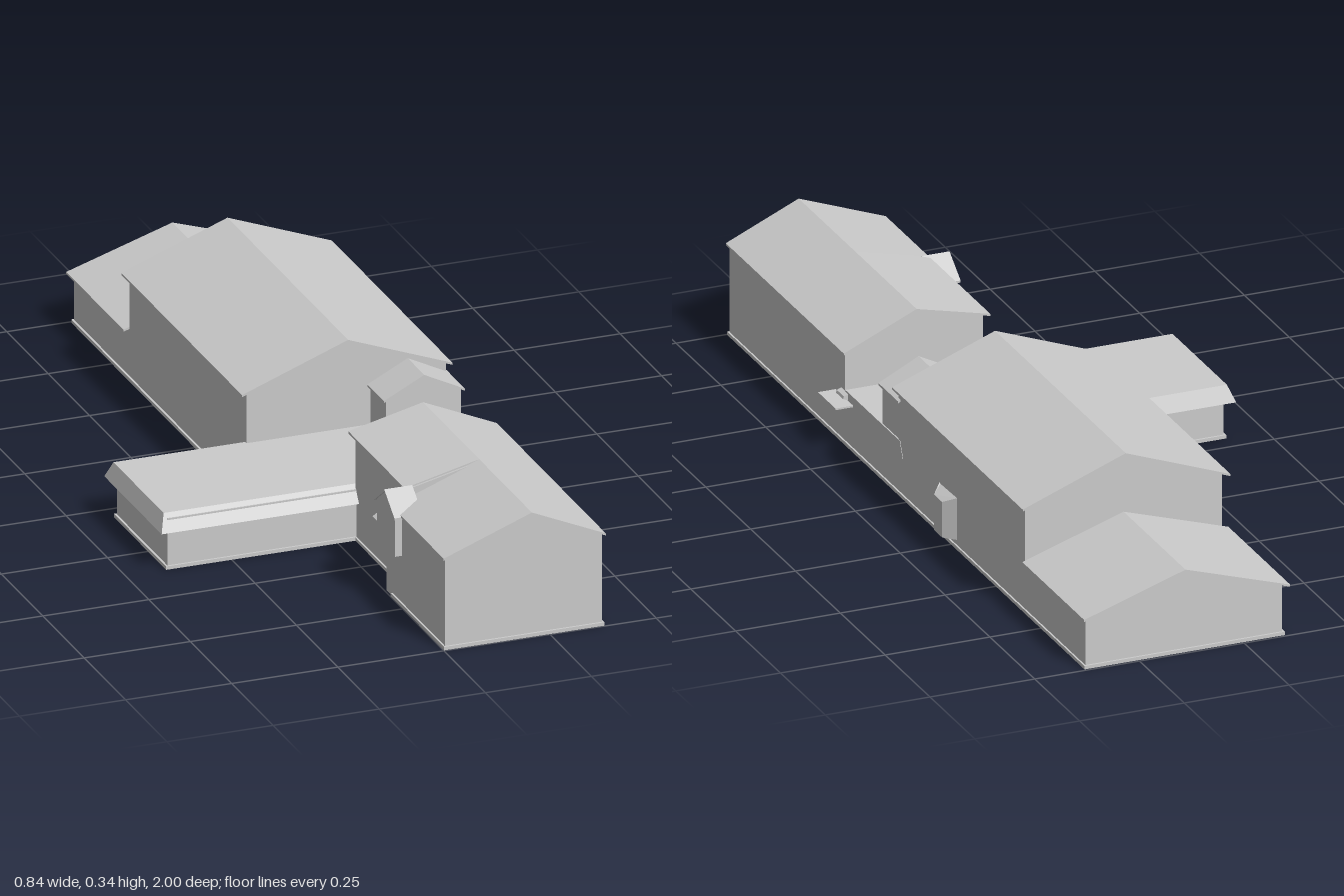
import * as THREE from 'three';

const material = new THREE.MeshStandardMaterial({ color: 0xcccccc, flatShading: true });

function add(group, name, geometry) {
  geometry.computeVertexNormals();
  const mesh = new THREE.Mesh(geometry, material);
  mesh.name = name;
  group.add(mesh);
  return mesh;
}

// Box given by its limits
function box(x0, x1, y0, y1, z0, z1) {
  return new THREE.BoxGeometry(x1 - x0, y1 - y0, z1 - z0)
    .translate((x0 + x1) / 2, (y0 + y1) / 2, (z0 + z1) / 2);
}

// Front-facing profile [x, y] pushed from z0 to z1
function prism(points, z0, z1) {
  const shape = new THREE.Shape(points.map(([x, y]) => new THREE.Vector2(x, y)));
  return new THREE.ExtrudeGeometry(shape, { depth: z1 - z0, bevelEnabled: false }).translate(0, 0, z0);
}

// Walls whose gable ends meet the roof
function gableWalls(left, right, eaveL, ridge, eaveR, z0, z1, base = 0) {
  return prism([[left, base], [right, base], [right, eaveR], ridge, [left, eaveL]], z0, z1);
}

// Thin two-sided roof slab over left eave, ridge, right eave
function gableRoof(l, m, r, z0, z1, t = 0.005) {
  return prism([[l[0], l[1] - t], [m[0], m[1] - t], [r[0], r[1] - t], r, m, l], z0, z1);
}

export function createModel() {
  const model = new THREE.Group();
  model.name = 'building';

  // Tall main hall
  add(model, 'hallWalls', gableWalls(-0.095, 0.375, 0.253, [0.14, 0.342], 0.253, -0.655, 0.05));
  add(model, 'hallRoof', gableRoof([-0.11, 0.252], [0.14, 0.345], [0.386, 0.252], -0.667, 0.062));

  // Low rear block
  add(model, 'rearWalls', gableWalls(-0.095, 0.375, 0.122, [0.14, 0.196], 0.122, -0.99, -0.65));
  add(model, 'rearRoof', gableRoof([-0.11, 0.121], [0.14, 0.2], [0.382, 0.121], -1, -0.655));

  // Front block: full width at the front, narrower and shallower-roofed behind
  add(model, 'frontWalls', gableWalls(0.005, 0.375, 0.218, [0.208, 0.293], 0.22, 0.68, 0.993));
  add(model, 'frontInnerWalls', gableWalls(0.045, 0.375, 0.255, [0.208, 0.293], 0.22, 0.35, 0.685));
  add(model, 'frontRoof', gableRoof([0, 0.219], [0.208, 0.297], [0.382, 0.22], 0.68, 0.998));
  add(model, 'frontInnerRoof', gableRoof([0.032, 0.255], [0.208, 0.297], [0.382, 0.22], 0.34, 0.68));

  // Side turret with its ridge running across
  const turret = new THREE.Group();
  turret.name = 'sideTurret';
  add(turret, 'turretWalls', gableWalls(-0.735, -0.625, 0.217, [-0.68, 0.256], 0.217, -0.012, 0.05, 0.12));
  add(turret, 'turretRoof', gableRoof([-0.742, 0.215], [-0.68, 0.26], [-0.618, 0.215], -0.016, 0.05));
  turret.rotation.y = Math.PI / 2;
  // The turned profile runs along z, its depth along x
  turret.position.set(0, 0, 0);
  model.add(turret);

  // Turret stem down to the ground, and sloping side canopy
  add(model, 'turretStem', box(0.005, 0.05, 0, 0.2, 0.64, 0.7));
  add(model, 'sideCanopy', prism([[0.015, 0.125], [0.046, 0.145], [0.046, 0.151], [0.015, 0.131]], 0.53, 0.62));

  // Flat-roofed cross wing with sloping roof edges
  add(model, 'wingWalls', box(-0.4, 0.375, 0, 0.12, 0.05, 0.355));
  const wingRoof = box(-0.42, 0.376, 0.092, 0.13, 0.025, 0.372);
  const p = wingRoof.attributes.position;
  for (let i = 0; i < p.count; i++) {
    if (p.getY(i) < 0.12) continue;
    if (p.getX(i) < 0) p.setX(i, -0.405);
    p.setZ(i, p.getZ(i) < 0.2 ? 0.042 : 0.345);
  }
  add(model, 'wingRoof', wingRoof);

  // Small gabled link between wing and hall
  add(model, 'linkWalls', gableWalls(0.197, 0.373, 0.228, [0.285, 0.27], 0.228, 0.04, 0.145, 0.1));
  add(model, 'linkRoof', gableRoof([0.19, 0.226], [0.285, 0.274], [0.381, 0.226], 0.04, 0.15));

  // Bay window with a sloping top
  const plan = new THREE.Shape([[0.37, 0.178], [0.375, 0.178], [0.4, 0.205], [0.4, 0.25], [0.375, 0.275], [0.37, 0.275]]
    .map(([x, y]) => new THREE.Vector2(x, y)));
  const bay = new THREE.ExtrudeGeometry(plan, { depth: 0.1, bevelEnabled: false })
    .rotateX(-Math.PI / 2).translate(0, 0.02, 0);
  const b = bay.attributes.position;
  for (let i = 0; i < b.count; i++) {
    if (b.getX(i) > 0.39 && b.getY(i) > 0.1) b.setY(i, 0.105);
  }
  add(model, 'bayWindow', bay);

  // Entrance canopy
  add(model, 'entranceCanopy', box(0.37, 0.418, 0.106, 0.11, 0.302, 0.4));
  add(model, 'canopyBracket', prism([[0.37, 0.109], [0.388, 0.116], [0.386, 0.122], [0.37, 0.128]], 0.33, 0.37));

  // Slightly projecting plinths
  const plinths = [
    [-0.1, 0.379, -0.995, 0.055], [-0.405, 0.379, 0.045, 0.36],
    [0.041, 0.379, 0.34, 0.69], [0.001, 0.379, 0.676, 0.998],
  ];
  for (const [x0, x1, z0, z1] of plinths) add(model, 'plinth', box(x0, x1, 0, 0.008, z0, z1));

  return model;
}
